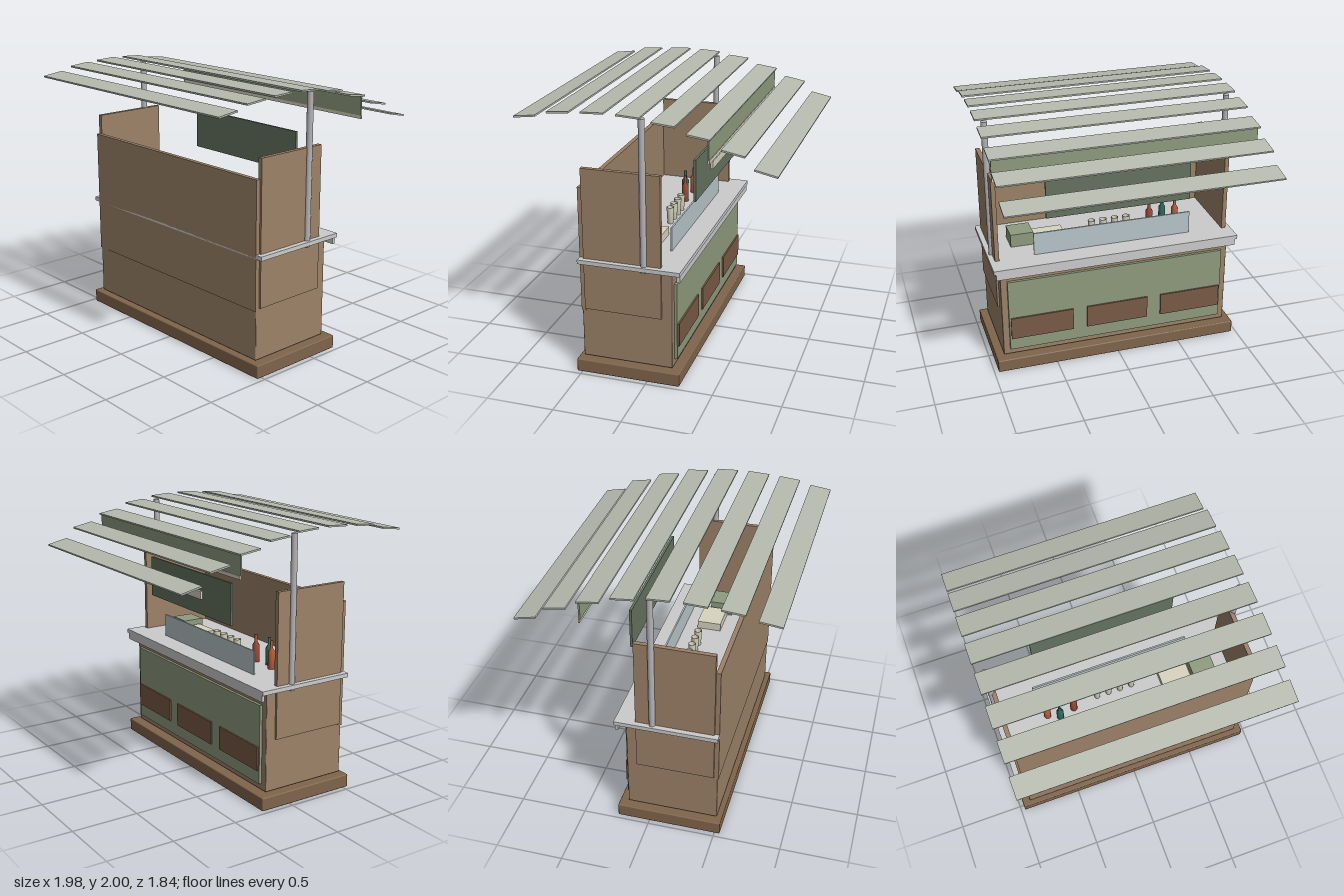
import * as THREE from 'three';
import { RoundedBoxGeometry } from 'three/addons/geometries/RoundedBoxGeometry.js';

const mat = (color, side = THREE.FrontSide) => new THREE.MeshStandardMaterial({ color, side });
const M = {
  plinth: mat(0x80654c), wood: mat(0x9c8268), drawer: mat(0x7a5a45),
  stone: mat(0xcccccc), metal: mat(0xb4b4b8), sign: mat(0x65735f),
  sage: mat(0x8f9b7e), slat: mat(0xb6baae), cream: mat(0xd8d4c0),
  screen: mat(0xb9c6ca), teal: mat(0x2f6b5c), orange: mat(0xb5603c), red: mat(0x9c4a35),
};

export function createModel() {
  const root = new THREE.Group();

  const add = (name, geometry, material, x = 0, y = 0, z = 0) => {
    const mesh = new THREE.Mesh(geometry, material);
    mesh.name = name;
    mesh.position.set(x, y, z);
    root.add(mesh);
    return mesh;
  };
  // Box given by its limits on each axis; an optional radius rounds the edges
  const box = (name, material, [x0, x1], [y0, y1], [z0, z1], radius = 0) => {
    const size = [x1 - x0, y1 - y0, z1 - z0];
    const geometry = radius ? new RoundedBoxGeometry(...size, 2, radius) : new THREE.BoxGeometry(...size);
    return add(name, geometry, material, (x0 + x1) / 2, (y0 + y1) / 2, (z0 + z1) / 2);
  };

  // Base and cabinet
  box('plinth', M.plinth, [-0.967, 0.967], [0, 0.1], [-0.243, 0.54], 0.008);
  box('cabinet', M.wood, [-0.907, 0.907], [0.11, 0.855], [-0.176, 0.503], 0.006);
  box('backPanel', M.wood, [-0.908, 0.908], [0.48, 1.425], [0.476, 0.51]);

  // Serving side with three drawer fronts
  box('servingPanel', M.sage, [-0.857, 0.857], [0.16, 0.755], [-0.197, -0.174]);
  for (const x of [-0.6, 0, 0.6]) {
    box('drawerFront', M.drawer, [x - 0.245, x + 0.245], [0.26, 0.44], [-0.209, -0.195]);
  }

  // Worktop with a lip along the serving edge
  box('worktop', M.stone, [-0.962, 0.962], [0.866, 0.897], [-0.25, 0.51]);
  box('worktopLip', M.stone, [-0.945, 0.945], [0.815, 0.867], [-0.246, -0.222]);

  // Side walls and roof posts
  for (const s of [-1, 1]) {
    const x = [s * 0.89, s * 0.923].sort((a, b) => a - b);
    box('sideWall', M.wood, x, [0.5, 1.572], [-0.1, 0.477]);
    add('roofPost', new THREE.CylinderGeometry(0.023, 0.023, 1.115, 24), M.metal, s * 0.923, 1.4075, 0.025);
  }

  // Curved canopy of slats: front and rear edge as [z, y]
  const slats = [
    [0.918, 1.917, 0.759, 1.937], [0.675, 1.967, 0.515, 1.981],
    [0.431, 1.987, 0.267, 1.994], [0.18, 1.991, 0.018, 1.982],
    [-0.062, 1.96, -0.224, 1.945], [-0.302, 1.9, -0.463, 1.878],
    [-0.537, 1.818, -0.697, 1.788], [-0.758, 1.707, -0.916, 1.673],
  ];
  for (const [z0, y0, z1, y1] of slats) {
    const length = Math.hypot(z0 - z1, y0 - y1);
    const slat = add('canopySlat', new THREE.BoxGeometry(1.98, 0.012, length), M.slat,
      0, (y0 + y1) / 2, (z0 + z1) / 2);
    slat.rotation.x = -Math.atan2(y0 - y1, z0 - z1);
  }

  // Valance under the canopy
  box('valance', M.sage, [-0.975, 0.975], [1.735, 1.878], [-0.453, -0.441]);
  box('valanceTrim', M.cream, [-0.975, 0.975], [1.71, 1.735], [-0.457, -0.446]);

  // Hanging board with a plain raised plaque
  box('hangingBoard', M.sign, [-0.555, 0.555], [1.27, 1.58], [-0.242, -0.224]);
  box('boardPlaque', M.cream, [-0.19, 0.185], [1.39, 1.45], [-0.262, -0.241]);

  // Screen and trays on the worktop
  box('counterScreen', M.screen, [-0.62, 0.62], [0.897, 1.075], [-0.085, -0.073]);
  box('largeTray', M.sage, [0.585, 0.763], [0.897, 1.0], [0.08, 0.25]);
  box('smallTray', M.cream, [0.34, 0.57], [0.897, 0.96], [0.03, 0.215]);

  // Cups
  const cup = new THREE.LatheGeometry(
    [[0, 0], [0.022, 0], [0.029, 0.13], [0.025, 0.13], [0.019, 0.01], [0, 0.01]]
      .map(p => new THREE.Vector2(...p)), 20);
  for (let i = 0; i < 4; i++) add('cup', cup, M.cream, 0.12 - i * 0.093, 0.897, 0.09);

  // Bottles
  const bottle = new THREE.LatheGeometry(
    [[0, 0], [0.027, 0], [0.027, 0.13], [0.011, 0.155], [0.011, 0.21], [0, 0.21]]
      .map(p => new THREE.Vector2(...p)), 20);
  for (const [x, z, material] of [[-0.57, 0.11, M.orange], [-0.48, 0.155, M.teal], [-0.36, 0.12, M.red]]) {
    add('bottle', bottle, material, x, 0.897, z);
  }

  return root;
}
